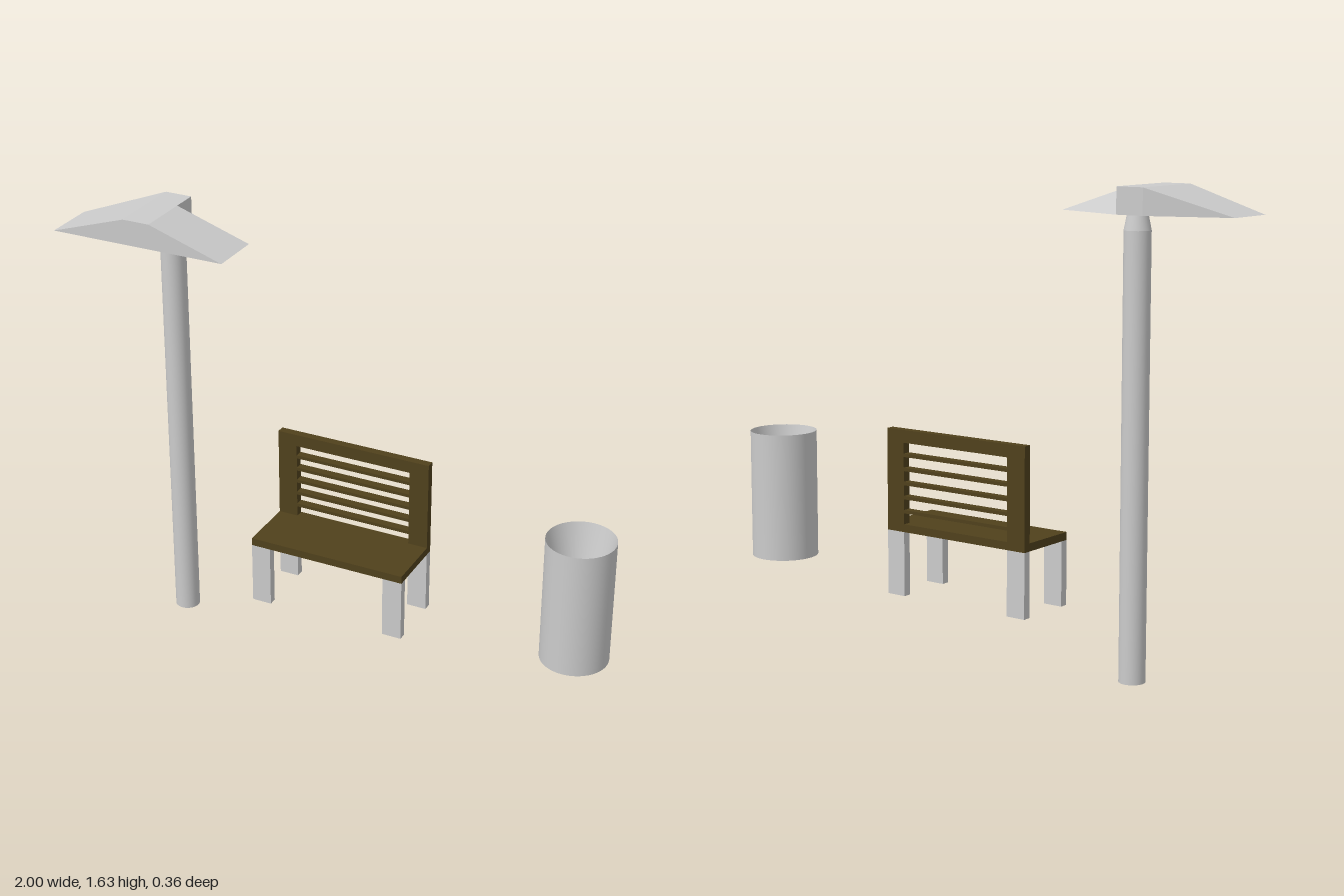
import * as THREE from 'three';

const grey = new THREE.MeshStandardMaterial({ color: 0xcccccc, side: THREE.DoubleSide });
const flatGrey = new THREE.MeshStandardMaterial({ color: 0xcccccc, flatShading: true, side: THREE.DoubleSide });
const wood = new THREE.MeshStandardMaterial({ color: 0x50411c });
const lampGlow = new THREE.MeshStandardMaterial({ color: 0xd0e622, side: THREE.DoubleSide });

function add(parent, name, geometry, material, x = 0, y = 0, z = 0) {
  const mesh = new THREE.Mesh(geometry, material);
  mesh.name = name;
  mesh.position.set(x, y, z);
  parent.add(mesh);
  return mesh;
}

// Box given by its minimum and maximum corners
function boxBetween(parent, name, material, [x0, y0, z0], [x1, y1, z1]) {
  return add(parent, name, new THREE.BoxGeometry(x1 - x0, y1 - y0, z1 - z0), material,
    (x0 + x1) / 2, (y0 + y1) / 2, (z0 + z1) / 2);
}

// Flat-sided solid from named corners and polygon faces (counter-clockwise from outside)
function facets(corners, faces) {
  const pos = [];
  for (const f of faces) {
    for (let i = 1; i < f.length - 1; i++) {
      for (const k of [f[0], f[i], f[i + 1]]) pos.push(...corners[k]);
    }
  }
  const g = new THREE.BufferGeometry();
  g.setAttribute('position', new THREE.Float32BufferAttribute(pos, 3));
  g.computeVertexNormals();
  return g;
}

function createLamp() {
  const lamp = new THREE.Group();
  lamp.name = 'streetLamp';

  // Pole with a short tapered neck
  const pole = new THREE.CylinderGeometry(0.045, 0.045, 1.495, 32);
  add(lamp, 'pole', pole, grey, -0.67, 0.7475, -0.055);
  const neck = new THREE.CylinderGeometry(0.034, 0.045, 0.055, 32);
  add(lamp, 'poleNeck', neck, grey, -0.67, 1.5225, -0.055);

  // Winged head: low trapezoid with a narrow block at the back
  const lo = 1.545, hi = 1.635, front = 0.18, mid = -0.01, back = -0.105;
  const xl = -1, xr = -0.345, tl = -0.72, tr = -0.62;
  const c = {
    fl: [xl, lo, front], fr: [xr, lo, front], ftl: [tl, hi, front], ftr: [tr, hi, front],
    ml: [xl, lo, mid], mr: [xr, lo, mid], mtl: [tl, hi, mid], mtr: [tr, hi, mid],
    bl: [tl, lo, back], br: [tr, lo, back], btl: [tl, hi, back], btr: [tr, hi, back],
  };
  add(lamp, 'lampHead', facets(c, [
    ['fl', 'fr', 'ftr', 'ftl'],
    ['fl', 'ftl', 'mtl', 'ml'],
    ['ftr', 'fr', 'mr', 'mtr'],
    ['ftl', 'ftr', 'btr', 'btl'],
    ['br', 'bl', 'btl', 'btr'],
    ['ml', 'mtl', 'btl', 'bl'],
    ['mtr', 'mr', 'br'], ['mtr', 'br', 'btr'],
    ['ml', 'bl', 'br', 'mr'],
  ]), flatGrey);
  add(lamp, 'lampPanel', facets(c, [['fl', 'ml', 'mr', 'fr']]), lampGlow);
  return lamp;
}

function createBench() {
  const bench = new THREE.Group();
  bench.name = 'bench';
  const x0 = -0.32, x1 = 0.272, z0 = -0.182, z1 = 0.064;
  const post = 0.073, thick = 0.03, seatBottom = 0.41, seatTop = 0.438, top = 0.772;

  boxBetween(bench, 'seat', wood, [x0, seatBottom, z0], [x1, seatTop, z1]);

  // Backrest frame and slats
  for (const x of [x0, x1 - post]) {
    boxBetween(bench, 'backPost', wood, [x, seatTop, z0], [x + post, top, z0 + thick]);
  }
  boxBetween(bench, 'topRail', wood, [x0 + post, 0.727, z0], [x1 - post, top, z0 + thick]);
  for (let i = 0; i < 5; i++) {
    const y = 0.483 + i * 0.05;
    boxBetween(bench, 'backSlat', wood, [x0 + post, y - 0.006, z0], [x1 - post, y + 0.006, z0 + thick]);
  }

  // Four flat legs
  for (const x of [x0, x1 - post]) {
    for (const z of [z0, z1 - thick]) {
      boxBetween(bench, 'leg', flatGrey, [x, 0.18, z], [x + post, seatBottom, z + thick]);
    }
  }
  return bench;
}

function createBin() {
  const bin = new THREE.Group();
  bin.name = 'litterBin';
  const r = 0.122, y0 = 0.213, y1 = 0.683, x = 0.876, z = -0.06;

  // Outer wall, base, and a funnel-shaped inside
  add(bin, 'binWall', new THREE.CylinderGeometry(r, r, y1 - y0, 48, 1, true), grey, x, (y0 + y1) / 2, z);
  const base = add(bin, 'binBase', new THREE.CircleGeometry(r, 48), grey, x, y0, z);
  base.rotation.x = Math.PI / 2;
  const funnel = [[0, 0.23], [0.018, 0.23], [r, y1]].map(([a, b]) => new THREE.Vector2(a, b));
  add(bin, 'binInside', new THREE.LatheGeometry(funnel, 48), grey, x, 0, z);
  return bin;
}

export function createModel() {
  const model = new THREE.Group();
  model.name = 'streetFurniture';
  model.add(createLamp(), createBench(), createBin());
  return model;
}
